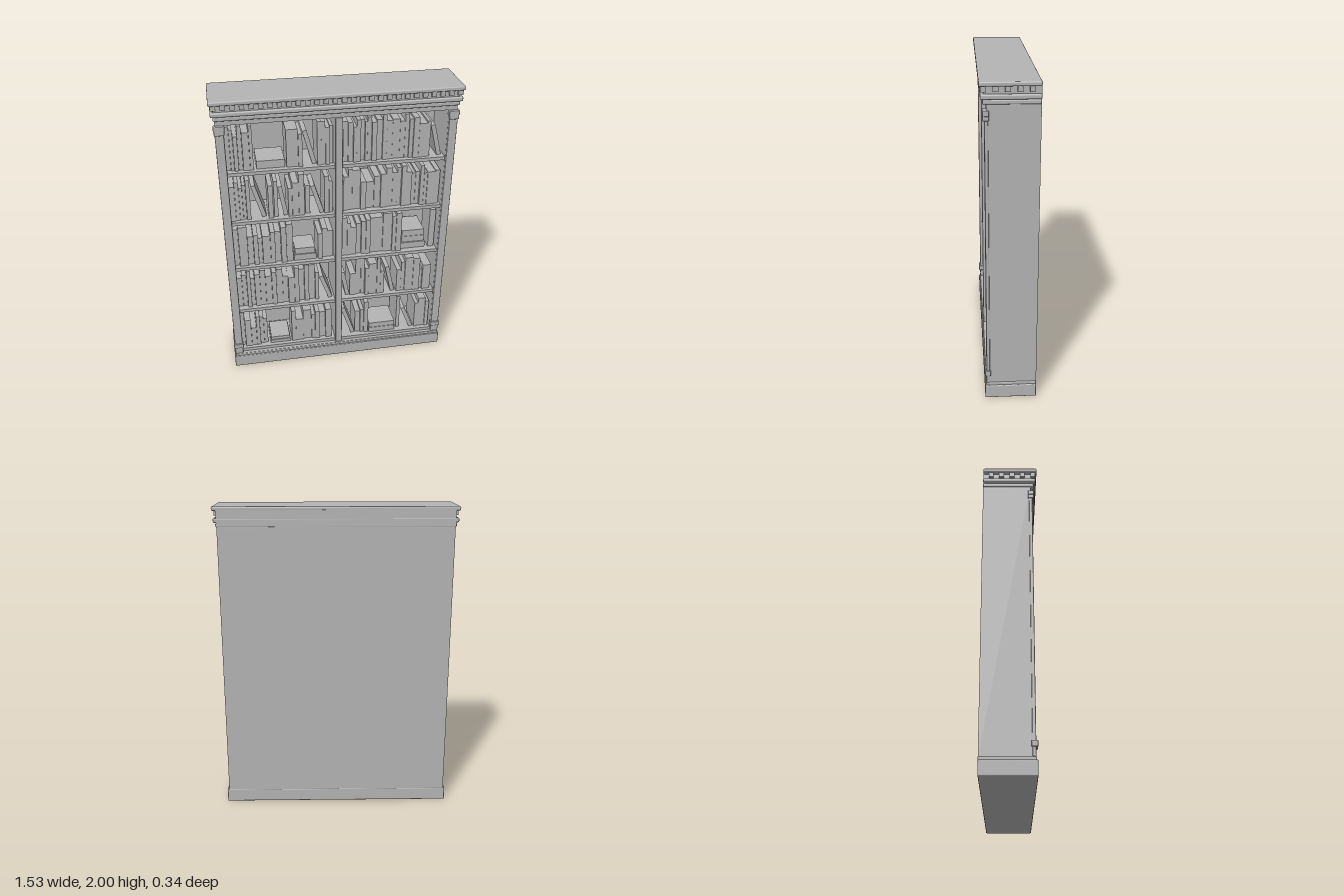
import * as THREE from 'three';
import { RoundedBoxGeometry } from 'three/addons/geometries/RoundedBoxGeometry.js';

const U = 0.0053; // book measuring unit
const BACK = -0.168;

export function createModel() {
  const model = new THREE.Group();
  model.name = 'bookcase';
  const grey = new THREE.MeshStandardMaterial({ color: 0xb4b4b4 });
  grey.name = 'plain grey';

  let seed = 7;
  const rand = () => (seed = (seed * 16807) % 2147483647) / 2147483647;

  // Box given by its limits; a radius rounds the edges
  function box(name, x0, x1, y0, y1, z0, z1, radius = 0, parent = model) {
    const w = x1 - x0, h = y1 - y0, d = z1 - z0;
    const geo = radius ? new RoundedBoxGeometry(w, h, d, 2, radius) : new THREE.BoxGeometry(w, h, d);
    const mesh = new THREE.Mesh(geo, grey);
    mesh.name = name;
    mesh.position.set((x0 + x1) / 2, (y0 + y1) / 2, (z0 + z1) / 2);
    parent.add(mesh);
    return mesh;
  }
  const slab = (name, halfX, y0, y1, front, r) => box(name, -halfX, halfX, y0, y1, BACK, front, r);

  // Plinth
  slab('plinth', 0.748, 0, 0.088, 0.15, 0.006);
  slab('plinthCap', 0.74, 0.082, 0.107, 0.143, 0.006);

  // Carcass
  box('backPanel', -0.735, 0.735, 0.09, 1.86, BACK, -0.15);
  for (const s of [-1, 1]) {
    const mid = s * 0.711;
    box('sidePanel', mid - 0.025, mid + 0.025, 0.09, 1.86, BACK, 0.125);
    // Pilaster with collars at foot and head
    const px = s * 0.714;
    box('pilaster', px - 0.027, px + 0.027, 0.107, 1.84, 0.12, 0.141, 0.004);
    for (const [y0, y1, w] of [[0.16, 0.196, 0.034], [1.783, 1.815, 0.031], [1.808, 1.84, 0.034]])
      box('pilasterCollar', px - w, px + w, y0, y1, 0.115, 0.151, 0.005);
  }
  box('centreStile', -0.023, 0.023, 0.107, 1.842, -0.15, 0.138, 0.004);

  // Shelves
  const floors = [1.52, 1.17, 0.82, 0.475, 0.13];
  for (const y of floors) box('shelf', -0.688, 0.688, y - 0.023, y, -0.152, 0.12);

  // Cornice
  slab('frieze', 0.736, 1.84, 1.878, 0.13);
  slab('lowerMoulding', 0.743, 1.873, 1.9, 0.15, 0.008);
  slab('upperMoulding', 0.757, 1.902, 1.93, 0.162, 0.008);
  slab('mouldingNeck', 0.738, 1.89, 1.91, 0.142);
  slab('dentilBand', 0.738, 1.925, 1.98, 0.145);
  slab('corniceTop', 0.765, 1.974, 2, 0.17, 0.008);
  for (let i = 0; i < 28; i++) {
    const x = -0.737 + (i * 1.474) / 27;
    box('frontDentil', x - 0.015, x + 0.015, 1.943, 1.976, 0.14, 0.161);
  }
  for (const s of [-1, 1])
    for (let i = 0; i < 5; i++) {
      const z = 0.146 - i * 0.066;
      box('sideDentil', s * 0.744 - 0.01, s * 0.744 + 0.01, 1.943, 1.976, z - 0.015, z + 0.015);
    }

  // One bay: each item is [width, height] for an upright book, ['gap', w],
  // ['lean', w, height] for a tilted book, ['stack', w, height, count] for lying books
  function bay(row, side, items) {
    const group = new THREE.Group();
    group.name = (side < 0 ? 'right' : 'left') + 'BayBooks' + (row + 1);
    model.add(group);
    const y = floors[row];
    let x = side < 0 ? -0.687 : 0.023;
    for (const item of items) {
      const kind = typeof item[0] === 'string' ? item[0] : 'book';
      const w = (kind === 'book' ? item[0] : item[1]) * U;
      const h = (kind === 'book' ? item[1] : item[2]) * U;
      const front = 0.075 + 0.025 * rand();
      const back = front - 0.16 - 0.04 * rand();
      if (kind === 'book') box('book', x + 0.0006, x + w - 0.0006, y, y + h, back, front, 0, group);
      if (kind === 'lean') {
        const t = 0.028, a = Math.atan2(w - t, h);
        const len = (h - t * Math.sin(a)) / Math.cos(a);
        const book = box('leaningBook', -t / 2, t / 2, 0, len, back, front, 0, group);
        book.rotation.z = a;
        book.position.x = x + w / 2;
        book.position.y = y + h / 2;
      }
      if (kind === 'stack') {
        const n = item[3];
        for (let i = 0; i < n; i++) {
          const inset = i ? 0.012 * rand() : 0;
          box('lyingBook', x + inset, x + w - inset, y + (h * i) / n, y + (h * (i + 1)) / n - 0.001,
            back, front - inset, 0, group);
        }
      }
      x += w;
    }
  }

  // Books, top shelf to bottom shelf
  bay(0, -1, [[5, 54], [4, 50], [5, 43], [5, 55], [8, 47], [4, 55], ['gap', 3], ['stack', 33, 10, 1], ['gap', 2],
    [14, 47], [5, 41], ['lean', 17, 44], [5, 55], [5, 54], [5, 47], [4, 48]]);
  bay(0, 1, [[2, 42], [6, 51], [6, 50], [4, 45], [5, 53], [5, 52], [3, 50], [5, 55], [6, 49], [7, 51], [5, 57],
    [7, 49], [9, 50], [6, 47], [5, 55], [5, 49], [7, 51], [10, 43], [4, 45], ['lean', 15, 40]]);
  bay(1, -1, [[6, 46], [5, 51], [4, 43], [4, 46], [5, 53], ['gap', 1], ['lean', 18, 44], ['gap', 2], [6, 44],
    ['gap', 1], [5, 48], ['lean', 12, 40], [5, 38], [8, 45], [7, 55], ['gap', 1], [6, 38], ['lean', 17, 39],
    [6, 50], [4, 43]]);
  bay(1, 1, [[3, 38], [6, 46], [5, 55], [10, 53], [7, 38], [10, 36], [8, 43], [7, 46], [8, 53], [6, 46], [5, 52],
    [6, 55], [7, 46], [5, 43], [5, 45], [5, 54], [4, 44], [10, 45], [6, 46]]);
  bay(2, -1, [[6, 52], [11, 56], [7, 40], [6, 43], [5, 37], [10, 40], [6, 45], [7, 44], [7, 51], [8, 54], ['gap', 1],
    ['stack', 28, 17, 2], ['gap', 2], [6, 37], [7, 42], [7, 38]]);
  bay(2, 1, [[8, 55], [5, 47], [7, 40], [6, 44], [6, 48], [6, 50], [16, 51], [12, 56], [5, 52], [7, 56], ['gap', 1],
    ['stack', 32, 26, 3], ['gap', 4], [8, 55]]);
  bay(3, -1, [[6, 44], [6, 48], [5, 56], [5, 42], [7, 49], [7, 54], [8, 44], [6, 50], [8, 53], [7, 41], [8, 40],
    [6, 54], [7, 49], [6, 56], [8, 54], [5, 43], ['lean', 18, 36]]);
  bay(3, 1, [['lean', 12, 37], [8, 34], [7, 56], [5, 57], [5, 42], [11, 48], [5, 56], [5, 35], ['gap', 1],
    ['lean', 14, 40], ['gap', 2], [6, 34], [5, 45], [11, 52], [9, 50], [4, 31], [11, 38]]);
  bay(4, -1, [[5, 54], [8, 43], [7, 29], [5, 47], [5, 44], [5, 40], ['gap', 3], ['stack', 27, 9, 2], ['gap', 2],
    [6, 50], [10, 35], [11, 48], [5, 40], [6, 45], [8, 42], [8, 47]]);
  bay(4, 1, [['lean', 20, 45], [7, 35], [5, 38], [6, 51], ['gap', 1], ['stack', 36, 15, 2], ['gap', 3], [5, 52],
    ['lean', 19, 35], ['gap', 1], [5, 40], [10, 47], [5, 42]]);

  return model;
}
